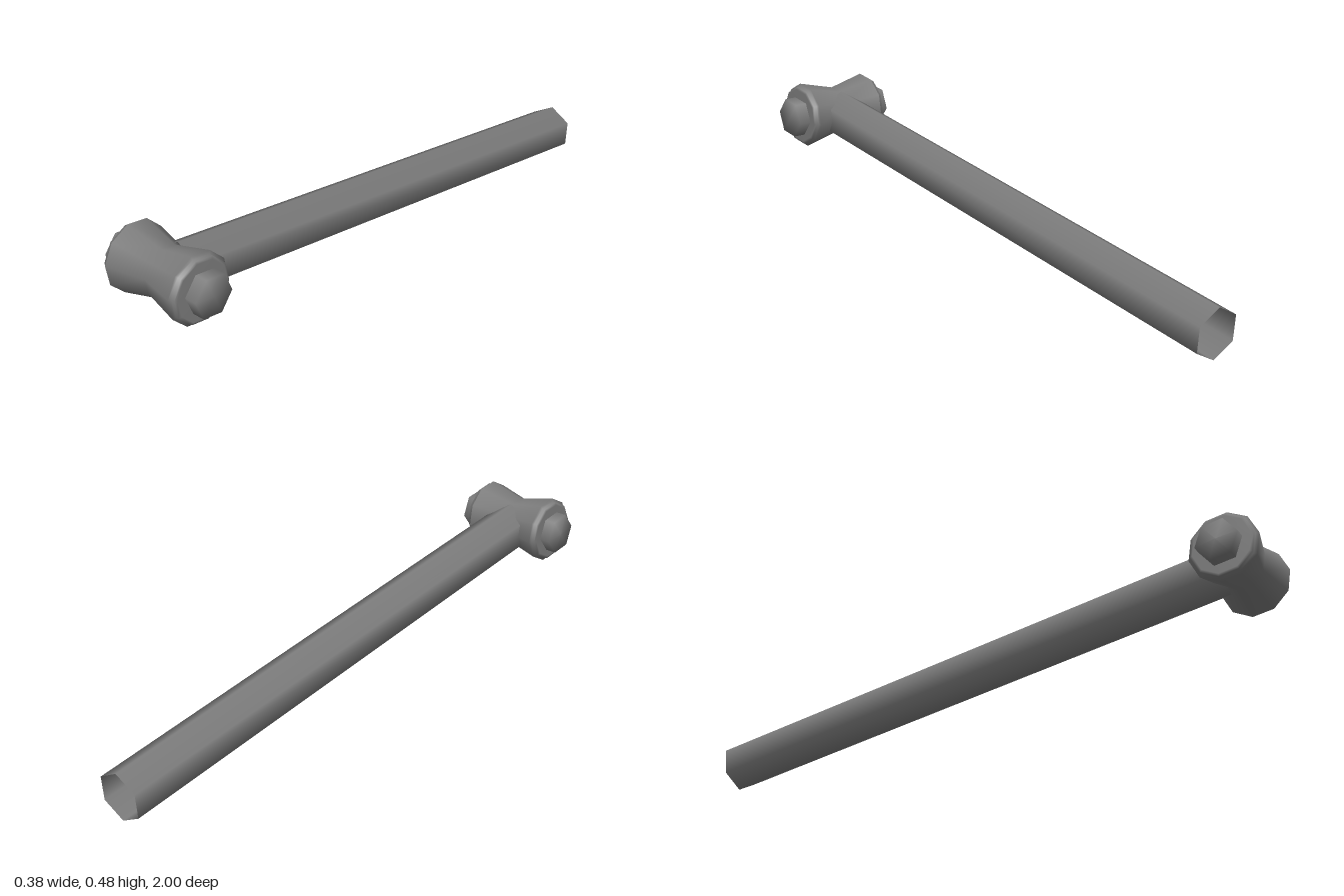
import * as THREE from 'three';

const material = new THREE.MeshStandardMaterial({ color: 0x7c7c7c });
const tubeMaterial = new THREE.MeshStandardMaterial({ color: 0x7c7c7c, side: THREE.DoubleSide });

const TILT = 0.15; // slope of the arm, shared by the facets of hub and pin

// Solid of revolution about the x axis; profile is [x, radius] from -x to +x
function turned(name, profile, sides) {
  const points = profile.map(([x, r]) => new THREE.Vector2(r, x));
  const geometry = new THREE.LatheGeometry(points, sides, -TILT);
  geometry.rotateZ(-Math.PI / 2);
  const mesh = new THREE.Mesh(geometry, material);
  mesh.name = name;
  return mesh;
}

export function createModel() {
  const model = new THREE.Group();
  model.name = 'pivotArm';
  const pivot = new THREE.Vector3(0, 0.366, 0.887);

  // Waisted ten-sided hub with a chamfered collar at each end
  const half = [[0.13, 0.113], [0.133, 0.1025], [0.145, 0.1025], [0.148, 0.094], [0.148, 0]];
  const mirrored = half.map(([x, r]) => [-x, r]).reverse();
  const hub = turned('hub', [...mirrored, [0, 0.081], ...half], 10);
  hub.position.copy(pivot);
  model.add(hub);

  // Six-sided pin through the hub, slightly peaked at its right end
  const pin = turned('pin', [[-0.19, 0], [-0.185, 0.0685], [0.19, 0.0685], [0.19, 0]], 6);
  pin.position.set(0, 0.365, 0.885);
  model.add(pin);

  // Hollow six-sided arm sloping down to an open back end
  const back = new THREE.Vector3(0, 0.0835, -0.992);
  const axis = pivot.clone().sub(back);
  const front = pivot.clone().addScaledVector(axis, -0.022);
  const tube = new THREE.CylinderGeometry(0.085, 0.085, front.distanceTo(back), 6, 1, true);
  // Flatten the section a little and slant its end cuts
  tube.applyMatrix4(new THREE.Matrix4().set(
    1, 0, 0, 0,
    0, 1, -0.06, 0,
    0, 0, 0.96, 0,
    0, 0, 0, 1
  ));
  const arm = new THREE.Mesh(tube, tubeMaterial);
  arm.name = 'arm';
  arm.position.copy(front).add(back).multiplyScalar(0.5);
  arm.rotation.x = Math.PI / 2 - Math.atan2(axis.y, axis.z);
  model.add(arm);

  return model;
}
